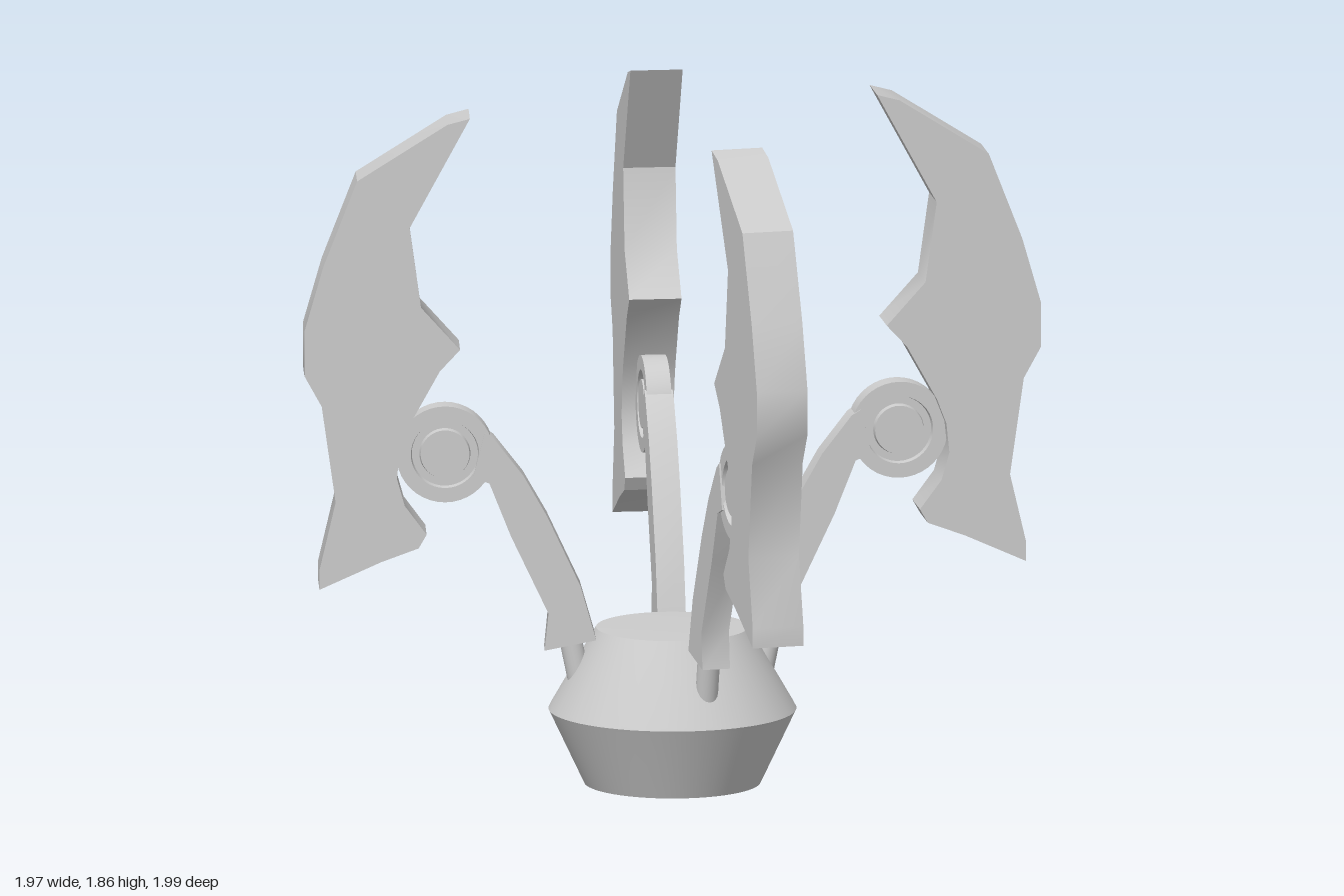
import * as THREE from 'three';
import { toCreasedNormals } from 'three/addons/utils/BufferGeometryUtils.js';

const material = new THREE.MeshStandardMaterial({ color: 0xcccccc });

function part(name, geometry, parent) {
  const mesh = new THREE.Mesh(geometry, material);
  mesh.name = name;
  parent.add(mesh);
  return mesh;
}

// Side outline (distance outward, height) given thickness, centred on its plane
function plate(points, depth) {
  const shape = new THREE.Shape(points.map(([x, y]) => new THREE.Vector2(x, y)));
  const g = new THREE.ExtrudeGeometry(shape, { depth, bevelEnabled: false });
  g.translate(0, 0, -depth / 2);
  return toCreasedNormals(g, 0.6);
}

function turned(points, segments) {
  const g = new THREE.LatheGeometry(points.map(([x, y]) => new THREE.Vector2(x, y)), segments);
  return toCreasedNormals(g, 0.5);
}

const bladeOutline = [
  [0.54, 1.858], [0.60, 1.842], [0.84, 1.69], [0.93, 1.458], [0.98, 1.284],
  [0.98, 1.163], [0.934, 1.08], [0.897, 0.82], [0.94, 0.637], [0.94, 0.584],
  [0.776, 0.658], [0.676, 0.695], [0.655, 0.732], [0.713, 0.81], [0.734, 0.884],
  [0.726, 0.963], [0.70, 1.03], [0.62, 1.174], [0.566, 1.232], [0.67, 1.347], [0.70, 1.563],
];

const armOutline = [
  [0.50, 1.0], [0.476, 0.985], [0.397, 0.884], [0.334, 0.774], [0.245, 0.584],
  [0.203, 0.437], [0.34, 0.41], [0.33, 0.51], [0.43, 0.72], [0.487, 0.863], [0.53, 0.88],
];

// Grooved disc, symmetric on both faces
const faceProfile = [[0, 0.033], [0.065, 0.033], [0.068, 0.015], [0.088, 0.015], [0.091, 0.033], [0.13, 0.033]];
const jointProfile = [
  ...faceProfile.map(([r, y]) => [r, -y]),
  ...faceProfile.slice().reverse(),
];

const bladeGeometry = plate(bladeOutline, 0.14);
const armGeometry = plate(armOutline, 0.076);
const jointGeometry = turned(jointProfile, 40).rotateX(Math.PI / 2);

function createClaw(name) {
  const claw = new THREE.Group();
  claw.name = name;
  part('blade', bladeGeometry, claw);
  part('arm', armGeometry, claw);
  part('joint', jointGeometry, claw).position.set(0.605, 0.942, 0);

  // Leaning peg that plugs the arm into the base
  const low = new THREE.Vector3(0.222, 0.2, 0);
  const high = new THREE.Vector3(0.274, 0.45, 0);
  const axis = high.clone().sub(low);
  const peg = part('peg', new THREE.CylinderGeometry(0.03, 0.03, axis.length(), 20), claw);
  peg.position.copy(low).lerp(high, 0.5);
  peg.quaternion.setFromUnitVectors(new THREE.Vector3(0, 1, 0), axis.normalize());
  return claw;
}

export function createModel() {
  const model = new THREE.Group();
  model.name = 'clawLamp';

  // Double-cone base with a softened waist
  part('base', turned([
    [0, 0], [0.235, 0], [0.325, 0.19], [0.33, 0.2], [0.325, 0.21], [0.203, 0.42], [0, 0.425],
  ], 64), model);

  // name, heading in degrees, x and z of pivot, outward shift, height shift
  const claws = [
    ['leftClaw', 0, 0, 0, 0, 0],
    ['rightClaw', 173.1, 0, 0.032, 0.005, -0.04],
    ['frontClaw', -82.5, 0.02, 0, 0.013, -0.04],
    ['backClaw', 88.5, 0.025, 0, 0.016, -0.04],
  ];
  for (const [name, degrees, x, z, out, lift] of claws) {
    const a = THREE.MathUtils.degToRad(degrees);
    const claw = createClaw(name);
    claw.rotation.y = a;
    claw.position.set(x + out * Math.cos(a), lift, z - out * Math.sin(a));
    model.add(claw);
  }
  return model;
}
